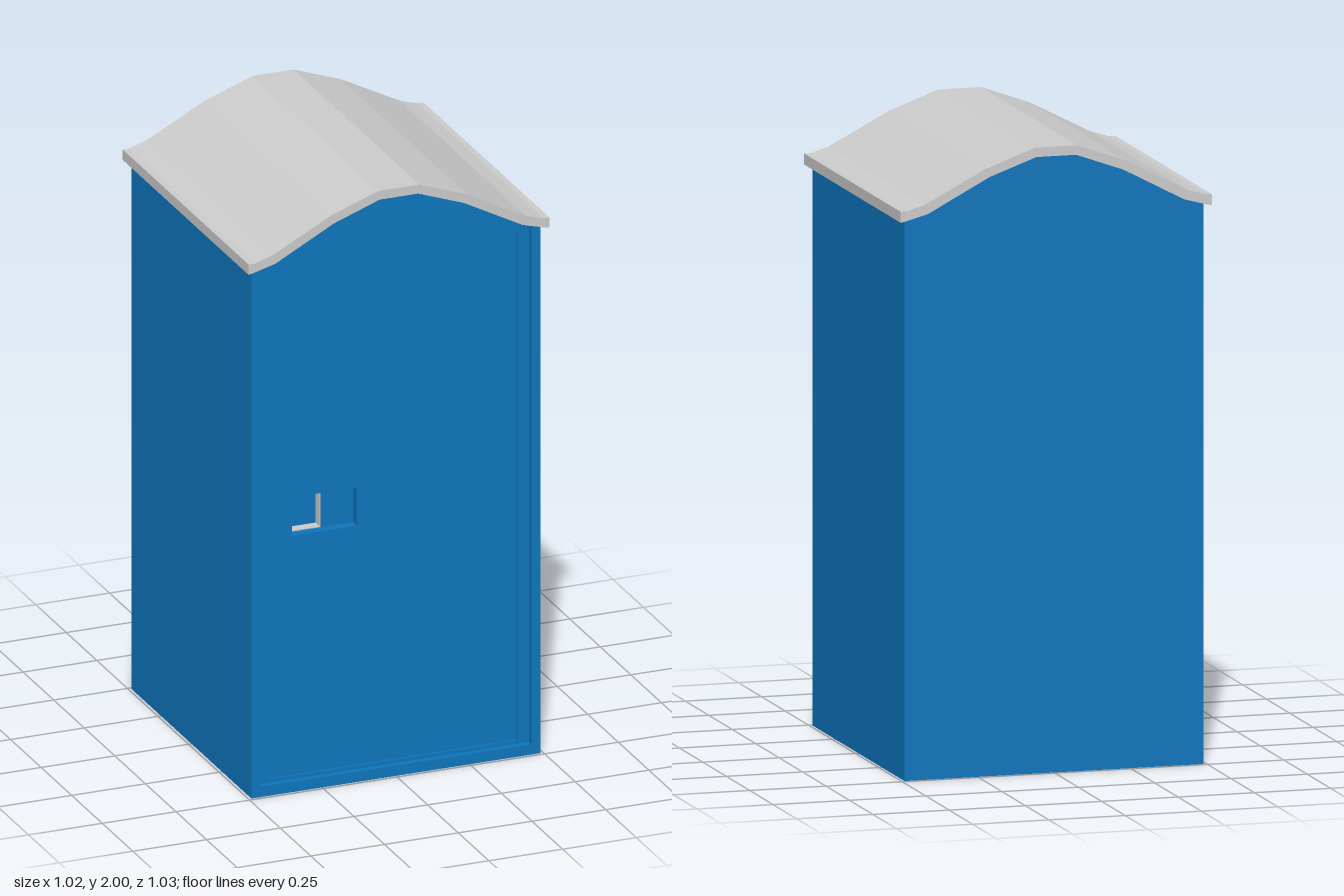
import * as THREE from 'three';

const mirror = (pts) => [...pts, ...pts.map(([x, y]) => [-x, y]).reverse()];
const toPoints = (pts) => pts.map(([x, y]) => new THREE.Vector2(x, y));
const rect = (x0, x1, y0, y1) => [[x0, y0], [x1, y0], [x1, y1], [x0, y1]];

// Extrudes an outline, with optional holes, from z0 to z1
function slab(name, outline, z0, z1, material, holes = []) {
  const shape = new THREE.Shape(toPoints(outline));
  for (const hole of holes) shape.holes.push(new THREE.Path(toPoints(hole)));
  const geometry = new THREE.ExtrudeGeometry(shape, { depth: z1 - z0, bevelEnabled: false });
  geometry.translate(0, 0, z0);
  const mesh = new THREE.Mesh(geometry, material);
  mesh.name = name;
  return mesh;
}

export function createModel() {
  const blue = new THREE.MeshStandardMaterial({ name: 'bluePlastic', color: 0x0d76be });
  const grey = new THREE.MeshStandardMaterial({ name: 'greyPlastic', color: 0xcccccc });
  const model = new THREE.Group();
  model.name = 'portableCabin';

  // Curved roof sheet
  const roofTop = mirror([[-0.51, 1.82], [-0.49, 1.82], [-0.43, 1.838], [-0.23, 1.942], [-0.07, 2]]);
  const underside = mirror([[-0.49, 1.789], [-0.42, 1.808], [-0.22, 1.914], [-0.065, 1.97]]);
  const roofBottom = [[-0.51, 1.785], ...underside, [0.51, 1.785]];
  model.add(slab('roof', [...roofBottom, ...roofTop.slice().reverse()], -0.515, 0.515, grey));

  // Cabin walls, stacked in layers towards the recessed front
  const wall = [[-0.49, 0], [0.49, 0], ...underside.slice().reverse()];
  const door = rect(-0.42, 0.42, 0.047, 1.76);
  const recess = rect(-0.34, -0.12, 0.855, 0.985);
  const pocket = rect(-0.34, -0.23, 0.855, 0.985);
  model.add(slab('cabin', wall, -0.49, 0.395, blue));
  model.add(slab('latchLayer', wall, 0.395, 0.43, blue, [pocket]));
  model.add(slab('doorPanel', wall, 0.43, 0.462, blue, [recess]));
  model.add(slab('doorSurround', wall, 0.462, 0.47, blue, [door]));

  // Raised frame, open at the top beneath the roof
  const frame = [[-0.49, 0], [0.49, 0], [0.49, 1.789], [0.46, 1.797],
    [0.46, 0.035], [-0.46, 0.035], [-0.46, 1.797], [-0.49, 1.789]];
  model.add(slab('frontFrame', frame, 0.47, 0.49, blue));

  // Grey lining of the handle pocket
  const inner = rect(-0.337, -0.233, 0.858, 0.982);
  model.add(slab('handlePocketLining', pocket, 0.395, 0.429, grey, [inner]));
  return model;
}
